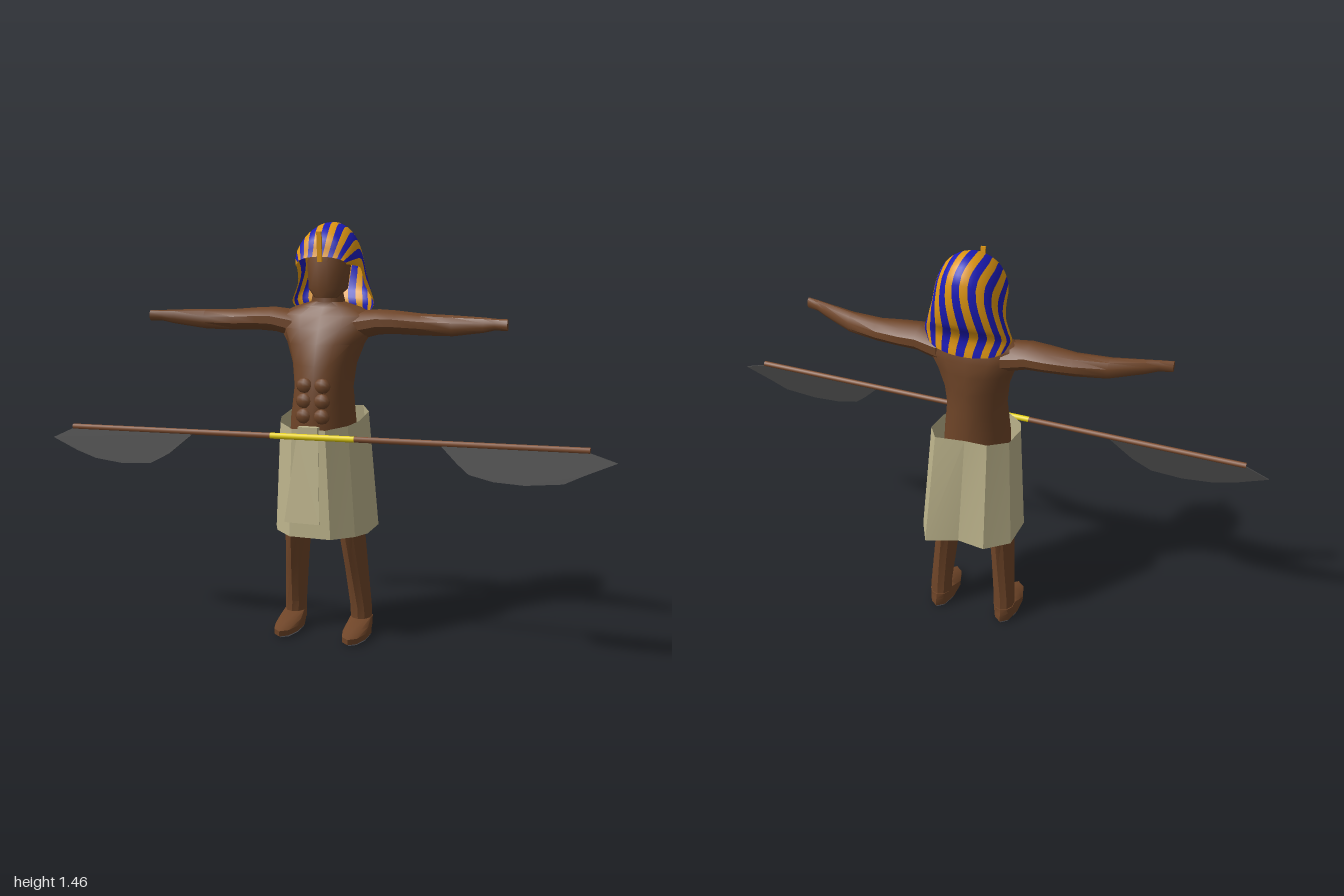
import * as THREE from 'three';
import { mergeGeometries, toCreasedNormals } from 'three/addons/utils/BufferGeometryUtils.js';
import { ParametricGeometry } from 'three/addons/geometries/ParametricGeometry.js';

const CX = -0.017; // middle line of the body

const paint = (color, side = THREE.FrontSide) => new THREE.MeshStandardMaterial({ color, side });

// Closed loft through elliptical rings [level, a, b, ra, rb] along the y or x axis
function loft(rings, axis = 'y', sides = 10) {
  const pos = [], idx = [];
  const put = (level, p, q) => (axis === 'y' ? pos.push(p, level, q) : pos.push(level, q, p));
  for (const [level, a, b, ra, rb] of rings) {
    for (let j = 0; j < sides; j++) {
      const t = ((j + 0.5) / sides) * Math.PI * 2;
      put(level, a + ra * Math.cos(t), b + rb * Math.sin(t));
    }
  }
  const last = rings.length - 1, foot = rings.length * sides, head = foot + 1;
  put(...rings[0].slice(0, 3));
  put(...rings[last].slice(0, 3));
  for (let j = 0; j < sides; j++) {
    const k = (j + 1) % sides;
    for (let i = 0; i < last; i++) {
      const a = i * sides + j, b = i * sides + k, c = a + sides, d = b + sides;
      idx.push(a, c, b, b, c, d);
    }
    idx.push(foot, j, k, head, last * sides + k, last * sides + j);
  }
  const g = new THREE.BufferGeometry();
  g.setAttribute('position', new THREE.Float32BufferAttribute(pos, 3));
  g.setIndex(idx);
  return toCreasedNormals(g, 0.65);
}

// Thin plate from [x, y] points, leaning forward towards its lower edge
function plate(points, z, topY, lean, depth) {
  const shape = new THREE.Shape(points.map(([x, y]) => new THREE.Vector2(x, y)));
  const g = new THREE.ExtrudeGeometry(shape, { depth, bevelEnabled: false });
  const p = g.attributes.position;
  for (let i = 0; i < p.count; i++) p.setZ(i, p.getZ(i) + z + (topY - p.getY(i)) * lean);
  g.computeVertexNormals();
  return g;
}

export function createModel() {
  const model = new THREE.Group();
  const skin = paint(0x6f4528), cloth = paint(0xbdb48c, THREE.DoubleSide);
  const grey = paint(0x4a4a4a), wood = paint(0x7c4b2d), yellow = paint(0xe8d20c);
  const gold = paint(0xdf9612, THREE.DoubleSide), blue = paint(0x1c1bb8, THREE.DoubleSide);
  const soleGrey = paint(0x85858c);
  const add = (name, geometry, material, parent = model) => {
    const mesh = new THREE.Mesh(geometry, material);
    mesh.name = name;
    parent.add(mesh);
    return mesh;
  };

  // Torso and neck: [y, x, z, rx, rz]
  add('torso', loft([
    [0.68, CX, 0, 0.12, 0.11], [0.78, CX, 0.005, 0.115, 0.122], [0.9, CX, 0, 0.102, 0.118],
    [0.98, CX, -0.008, 0.112, 0.112], [1.05, CX, -0.02, 0.138, 0.102], [1.1, CX, -0.03, 0.17, 0.088],
    [1.145, CX, -0.035, 0.18, 0.07], [1.172, CX, -0.045, 0.12, 0.05], [1.19, CX, -0.045, 0.06, 0.045],
    [1.26, CX, -0.04, 0.045, 0.045]], 'y', 14), skin);

  // Stomach muscles, three rows of two
  for (let row = 0; row < 3; row++) {
    for (const s of [-1, 1]) {
      const bump = add('stomachMuscle', new THREE.SphereGeometry(1, 8, 6), skin);
      bump.scale.set(0.03, 0.026, 0.016);
      bump.position.set(CX + s * 0.032, 0.81 + row * 0.052, 0.117 - row * 0.004);
    }
  }

  // Head
  add('head', loft([
    [1.205, CX + 0.007, 0.0, 0.04, 0.03], [1.235, CX + 0.007, -0.025, 0.068, 0.064],
    [1.325, CX + 0.007, -0.035, 0.076, 0.078], [1.39, CX + 0.007, -0.055, 0.06, 0.08],
    [1.425, CX + 0.007, -0.07, 0.03, 0.04]], 'y', 12), skin);

  // Limbs, mirrored about the middle line
  for (const s of [-1, 1]) {
    const side = s > 0 ? 'left' : 'right';
    const arm = [
      [0.11, -0.035, 1.11, 0.065, 0.05], [0.19, -0.032, 1.125, 0.06, 0.043],
      [0.25, -0.034, 1.125, 0.058, 0.04], [0.34, -0.03, 1.12, 0.044, 0.037],
      [0.45, -0.014, 1.12, 0.034, 0.035], [0.56, 0.02, 1.128, 0.02, 0.025],
      [0.6, 0.034, 1.132, 0.016, 0.019], [0.643, 0.044, 1.132, 0.014, 0.019]]
      .map(([d, ...rest]) => [CX + s * d, ...rest]);
    add(side + 'Arm', loft(s > 0 ? arm : arm.reverse(), 'x'), skin);
    add(side + 'Leg', loft([
      [0.03, CX + s * 0.127, -0.05, 0.038, 0.044], [0.1, CX + s * 0.125, -0.048, 0.038, 0.044],
      [0.25, CX + s * 0.113, -0.03, 0.039, 0.066], [0.4, CX + s * 0.1, -0.01, 0.042, 0.085],
      [0.72, CX + s * 0.06, 0, 0.058, 0.1]]), skin);
    add(side + 'Foot', loft([
      [0.008, CX + s * 0.128, 0.008, 0.045, 0.11], [0.028, CX + s * 0.128, 0.008, 0.046, 0.112],
      [0.042, CX + s * 0.128, -0.016, 0.044, 0.084], [0.062, CX + s * 0.127, -0.05, 0.039, 0.047]]), skin);
    add(side + 'Sole', loft([
      [0, CX + s * 0.128, 0.004, 0.04, 0.1], [0.009, CX + s * 0.128, 0.008, 0.045, 0.11]]), soleGrey);
  }

  // Kilt: matching outlines [x, z] for the waist and the hem
  const waist = [[-0.165, 0.03], [-0.145, 0.09], [-0.08, 0.152], [0.04, 0.152], [0.1, 0.09], [0.122, 0.03],
    [0.122, -0.08], [0.08, -0.15], [-0.02, -0.135], [-0.1, -0.135], [-0.16, -0.08]];
  const hem = [[-0.187, 0.03], [-0.16, 0.09], [-0.09, 0.155], [0.06, 0.155], [0.128, 0.09], [0.155, 0.03],
    [0.155, -0.1], [0.11, -0.19], [0, -0.15], [-0.1, -0.165], [-0.18, -0.1]];
  const pos = [], idx = [];
  waist.forEach(([x, z], i) => {
    pos.push(x, 0.793 - z * 0.15, z, hem[i][0], 0.393, hem[i][1]);
    const a = i * 2, b = ((i + 1) % waist.length) * 2;
    idx.push(a, a + 1, b, b, a + 1, b + 1);
  });
  const kilt = new THREE.BufferGeometry();
  kilt.setAttribute('position', new THREE.Float32BufferAttribute(pos, 3));
  kilt.setIndex(idx);
  add('kilt', toCreasedNormals(kilt, 0.3), cloth);

  // Apron hanging in front, with its knot at the belt
  add('apron', plate([[-0.055, 0.755], [-0.09, 0.455], [0.036, 0.455], [0.02, 0.755]], 0.165, 0.755, 0.11, 0.002), cloth);
  add('apronKnot', new THREE.BoxGeometry(0.07, 0.03, 0.025), cloth).position.set(-0.018, 0.765, 0.152);

  // Striped headcloth: each stripe runs from the brow over the crown and down the back
  const centreLine = new THREE.CatmullRomCurve3([
    [0.066, 1.345], [0.045, 1.415], [-0.02, 1.452], [-0.09, 1.458], [-0.14, 1.42], [-0.158, 1.34],
    [-0.146, 1.25], [-0.115, 1.19], [-0.12, 1.125]].map(([z, y]) => new THREE.Vector3(0, y, z)));
  const sideLine = new THREE.CatmullRomCurve3([
    [0.088, 1.32, 0.045], [0.108, 1.315, 0.01], [0.116, 1.305, -0.025], [0.118, 1.28, -0.04],
    [0.122, 1.25, -0.05], [0.138, 1.215, -0.06], [0.15, 1.185, -0.068], [0.135, 1.16, -0.08]]
    .map((p) => new THREE.Vector3(...p)));
  const c = new THREE.Vector3(), e = new THREE.Vector3();
  const stripes = [[], []], count = 15;
  for (let k = 0; k < count; k++) {
    stripes[k % 2].push(new ParametricGeometry((u, v, target) => {
      centreLine.getPoint(v, c);
      sideLine.getPoint(v, e);
      const across = ((k + u) / count) * 2 - 1;
      const wave = 0.05 * Math.sin(v * 14) * (1 - across * across);
      const t = (across + wave) * Math.PI / 2, w = Math.cos(t);
      target.set(CX + 0.008 + e.x * Math.sin(t), e.y + (c.y - e.y) * w, e.z + (c.z - e.z) * w);
    }, 2, 20));
  }
  const headcloth = new THREE.Group();
  headcloth.name = 'headcloth';
  model.add(headcloth);
  add('goldStripes', mergeGeometries(stripes[0]), gold, headcloth);
  add('blueStripes', mergeGeometries(stripes[1]), blue, headcloth);
  // Gold brow ornament
  const ornament = add('browOrnament', new THREE.BoxGeometry(0.016, 0.1, 0.009), gold, headcloth);
  ornament.position.set(CX + 0.008, 1.378, 0.068);
  ornament.rotation.x = 0.1;

  // Double-bladed pole held level across the front
  const weapon = new THREE.Group();
  weapon.name = 'doubleBladedPole';
  model.add(weapon);
  const bar = (name, x0, x1, radius, material) => {
    const yAt = (x) => 0.748 + x * 0.0165;
    const m = add(name, new THREE.CylinderGeometry(radius, radius, x1 - x0, 8), material, weapon);
    m.position.set((x0 + x1) / 2, yAt((x0 + x1) / 2), 0.17);
    m.rotation.z = Math.atan(0.0165) - Math.PI / 2;
  };
  bar('rightShaft', -0.92, -0.15, 0.01, wood);
  bar('grip', -0.15, 0.15, 0.0105, yellow);
  bar('leftShaft', 0.15, 0.915, 0.01, wood);
  add('rightBlade', plate([[-0.44, 0.735], [-0.92, 0.727], [-1, 0.69], [-0.9, 0.65], [-0.82, 0.626], [-0.71, 0.615],
    [-0.6, 0.623], [-0.53, 0.66]], 0.168, 0.74, 0.16, 0.005), grey, weapon);
  add('leftBlade', plate([[0.44, 0.752], [0.5, 0.695], [0.54, 0.663], [0.62, 0.646], [0.72, 0.642], [0.84, 0.655],
    [0.9, 0.685], [1, 0.73], [0.91, 0.757]], 0.168, 0.76, 0.16, 0.005), grey, weapon);

  return model;
}
